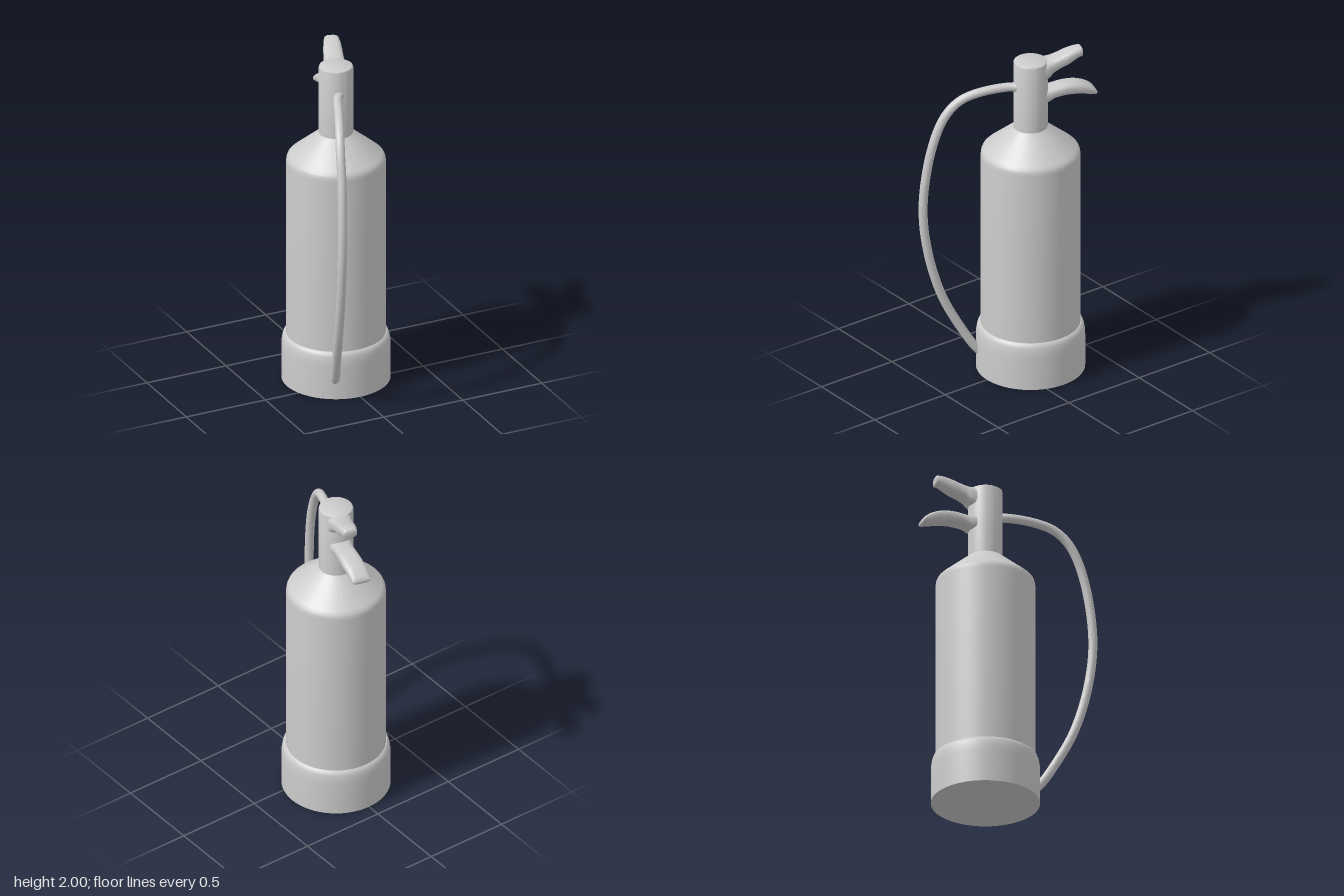
import * as THREE from 'three';
import { toCreasedNormals } from 'three/addons/utils/BufferGeometryUtils.js';

const AXIS_Z = -0.107; // the cylinder stands behind the centre, the hose bulges forward
const material = new THREE.MeshStandardMaterial({ color: 0xcccccc });

function addMesh(group, name, geometry, crease = 0.6) {
  const mesh = new THREE.Mesh(toCreasedNormals(geometry, crease), material);
  mesh.name = name;
  group.add(mesh);
  return mesh;
}

function lathe(group, name, profile) {
  const points = profile.map(([r, y]) => new THREE.Vector2(r, y));
  addMesh(group, name, new THREE.LatheGeometry(points, 72)).position.z = AXIS_Z;
}

// Lever lofted outward from the neck axis.
// Each station: [distance, sideways shift, top y, bottom y, half width]
function leverGeometry(angle, stations) {
  const RING = 28, STEPS = 40;
  const forward = new THREE.Vector3(Math.sin(angle), 0, -Math.cos(angle));
  const side = new THREE.Vector3(Math.cos(angle), 0, Math.sin(angle));
  const track = (k) => new THREE.SplineCurve(
    stations.map((s, i) => new THREE.Vector2(i, s[k])));
  const tracks = [0, 1, 2, 3, 4].map(track);
  const positions = [], indices = [];
  const round = (v) => Math.sign(v) * Math.abs(v) ** 0.65;

  for (let i = 0; i <= STEPS; i++) {
    const [dist, shift, top, bottom, width] = tracks.map((t) => t.getPoint(i / STEPS).y);
    for (let j = 0; j < RING; j++) {
      const a = (j / RING) * Math.PI * 2;
      const p = forward.clone().multiplyScalar(dist)
        .addScaledVector(side, shift + width * round(Math.cos(a)));
      p.y = (top + bottom) / 2 + ((top - bottom) / 2) * round(Math.sin(a));
      positions.push(p.x, p.y, p.z);
    }
  }
  for (let i = 0; i < STEPS; i++) {
    for (let j = 0; j < RING; j++) {
      const a = i * RING + j, b = i * RING + (j + 1) % RING;
      indices.push(a, a + RING, b, b, a + RING, b + RING);
    }
  }
  // close the tip
  const last = STEPS * RING;
  for (let j = 1; j < RING - 1; j++) indices.push(last, last + j + 1, last + j);

  const geometry = new THREE.BufferGeometry();
  geometry.setAttribute('position', new THREE.Float32BufferAttribute(positions, 3));
  geometry.setIndex(indices);
  return geometry;
}

export function createModel() {
  const model = new THREE.Group();
  model.name = 'fireExtinguisher';

  // Foot ring with a rounded upper rim
  lathe(model, 'base', [
    [0, 0], [0.31, 0], [0.31, 0.19], [0.308, 0.23], [0.303, 0.26],
    [0.296, 0.278], [0.286, 0.285], [0.27, 0.285],
  ]);

  // Tank with sloping shoulder
  lathe(model, 'tank', [
    [0.283, 0.2], [0.283, 1.35], [0.281, 1.37], [0.275, 1.385],
    [0.262, 1.398], [0.1, 1.532], [0.08, 1.532],
  ]);

  // Valve neck
  lathe(model, 'neck', [
    [0.098, 1.5], [0.098, 1.938], [0.095, 1.946], [0.088, 1.95], [0, 1.95],
  ]);

  // Upper lever, rising to a blunt tip
  addMesh(model, 'upperLever', leverGeometry(0.37, [
    [0.03, 0, 1.947, 1.80, 0.075],
    [0.09, 0, 1.949, 1.835, 0.068],
    [0.125, 0, 1.955, 1.867, 0.06],
    [0.165, 0, 1.968, 1.888, 0.056],
    [0.21, 0, 1.985, 1.905, 0.054],
    [0.25, 0, 1.996, 1.928, 0.049],
    [0.28, 0, 2.0, 1.943, 0.044],
    [0.296, 0, 1.999, 1.945, 0.04],
    [0.3, 0, 1.99, 1.953, 0.033],
  ]), 0.9).position.z = AXIS_Z;

  // Lower handle, arching over and drooping at the tip
  addMesh(model, 'lowerHandle', leverGeometry(0.29, [
    [0.03, 0, 1.765, 1.67, 0.07],
    [0.09, 0, 1.765, 1.683, 0.064],
    [0.13, 0.004, 1.771, 1.702, 0.058],
    [0.2, 0.006, 1.78, 1.71, 0.058],
    [0.27, 0.002, 1.772, 1.704, 0.06],
    [0.33, -0.005, 1.75, 1.688, 0.059],
    [0.37, -0.01, 1.724, 1.677, 0.056],
    [0.387, -0.012, 1.707, 1.676, 0.053],
    [0.392, -0.012, 1.696, 1.682, 0.046],
  ]), 0.9).position.z = AXIS_Z;

  // Hose bowing out from the neck and down to the base
  const hosePath = new THREE.CatmullRomCurve3([
    [0.02, 1.795, -0.06], [-0.04, 1.797, 0.0], [-0.12, 1.78, 0.17],
    [-0.165, 1.74, 0.27], [-0.2, 1.65, 0.35], [-0.225, 1.46, 0.423],
    [-0.246, 1.1, 0.47], [-0.24, 0.8, 0.442], [-0.215, 0.5, 0.36],
    [-0.175, 0.27, 0.25], [-0.145, 0.15, 0.18], [-0.13, 0.1, 0.14],
  ].map((p) => new THREE.Vector3(...p)));
  addMesh(model, 'hose', new THREE.TubeGeometry(hosePath, 120, 0.026, 16, false), 0.9);

  return model;
}
